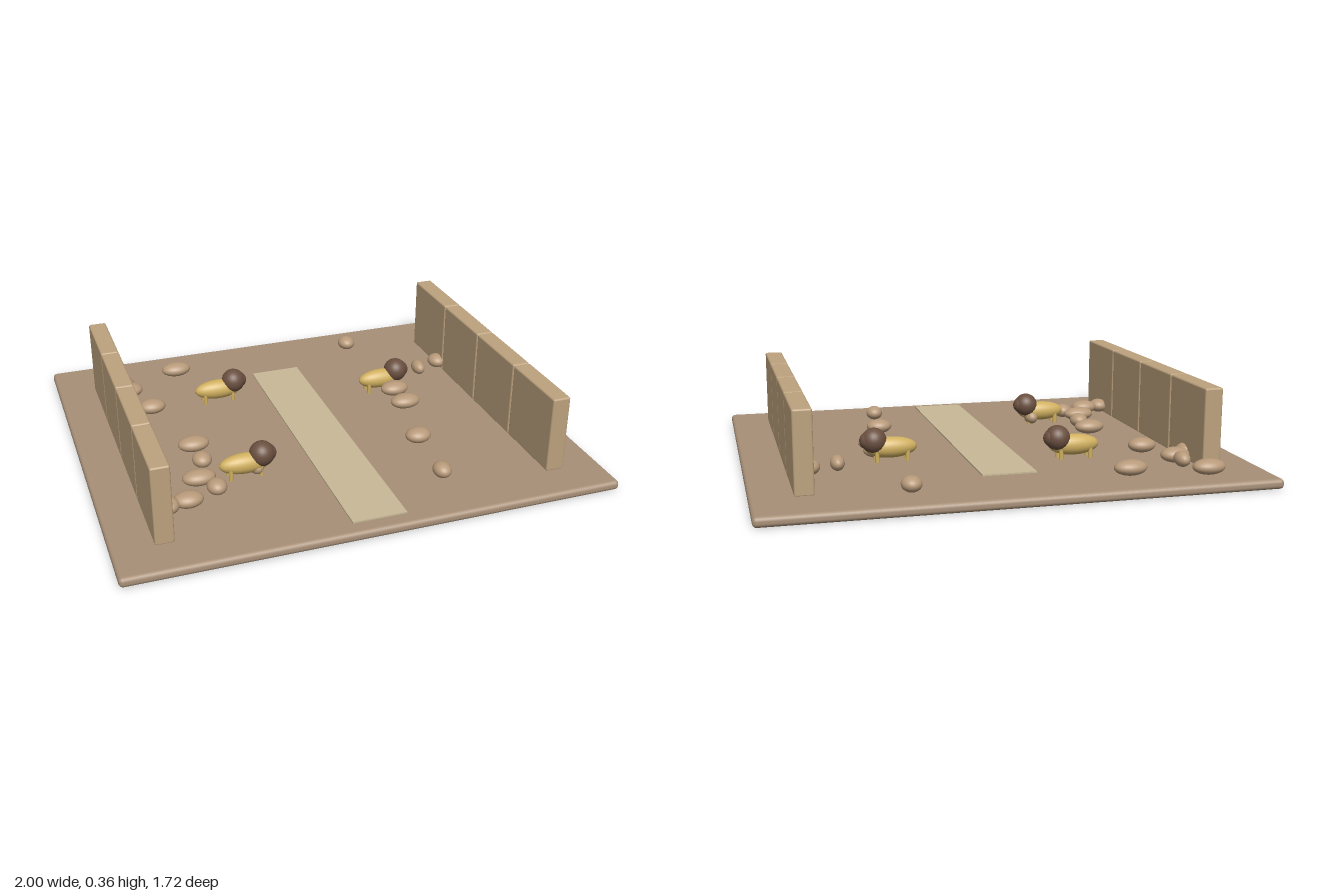
import * as THREE from 'three';
import { RoundedBoxGeometry } from 'three/addons/geometries/RoundedBoxGeometry.js';

const paint = (color) => new THREE.MeshStandardMaterial({ color });
const sand = paint(0xa89078), pathSand = paint(0xc8b896), stone = paint(0xbda27e);
const rockTan = paint(0xb89a7a), gold = paint(0xd0b060), brown = paint(0x6b5040);
const GROUND = 0.04;

function add(parent, name, geometry, material, x, y, z) {
  const mesh = new THREE.Mesh(geometry, material);
  mesh.name = name;
  mesh.position.set(x, y, z);
  parent.add(mesh);
  return mesh;
}

const ball = new THREE.SphereGeometry(1, 24, 16);
function ellipsoid(parent, name, material, [x, y, z], [rx, ry, rz]) {
  add(parent, name, ball, material, x, y, z).scale.set(rx, ry, rz);
}

// A lion facing +x, with its origin on the ground below the body
function createLion() {
  const lion = new THREE.Group();
  lion.name = 'lion';
  ellipsoid(lion, 'body', gold, [0, 0.056, 0], [0.107, 0.043, 0.041]);
  ellipsoid(lion, 'mane', brown, [0.07, 0.087, 0], [0.052, 0.052, 0.052]);
  ellipsoid(lion, 'muzzle', brown, [0.093, 0.087, 0], [0.036, 0.036, 0.036]);
  const leg = new THREE.CylinderGeometry(0.009, 0.009, 0.045, 12);
  for (const x of [-0.065, 0.06]) {
    for (const z of [-0.022, 0.022]) add(lion, 'leg', leg, gold, x, 0.0225, z);
  }
  return lion;
}

export function createModel() {
  const model = new THREE.Group();
  model.name = 'lionArena';

  // Floor slab and the thin path down the middle
  add(model, 'floor', new RoundedBoxGeometry(2, GROUND, 1.72, 4, 0.017), sand, 0, GROUND / 2, 0);
  add(model, 'path', new THREE.BoxGeometry(0.22, 0.008, 1.33), pathSand, 0, 0.042, 0.13);

  // Two mirrored walls of four blocks each
  const block = new RoundedBoxGeometry(0.075, 0.325, 0.33, 3, 0.008);
  for (const side of [-1, 1]) {
    const wall = new THREE.Group();
    wall.name = side > 0 ? 'leftWall' : 'rightWall';
    for (let i = 0; i < 4; i++) {
      add(wall, 'wallBlock', block, stone, side * 0.8, 0.1985, -0.47 + i * 0.333);
    }
    model.add(wall);
  }

  // Lions: x, z of the body
  for (const [x, z] of [[-0.326, -0.34], [-0.392, 0.328], [0.407, -0.205]]) {
    const lion = createLion();
    lion.position.set(x, GROUND, z);
    model.add(lion);
  }

  // Scattered rocks: x, z, half length along x
  const rocks = [
    [-0.75, -0.715, 0.067], [-0.698, -0.58, 0.031], [-0.70, -0.508, 0.061],
    [-0.773, -0.45, 0.042], [-0.634, -0.32, 0.059], [-0.45, -0.654, 0.067],
    [0.414, -0.675, 0.04], [0.752, -0.343, 0.042], [0.638, -0.304, 0.029],
    [0.447, -0.137, 0.064], [0.444, -0.005, 0.067], [0.372, 0.3, 0.055],
    [0.348, 0.59, 0.037], [-0.54, 0.064, 0.066], [-0.538, 0.2, 0.04],
    [-0.583, 0.332, 0.068], [-0.533, 0.42, 0.04], [-0.742, 0.494, 0.043],
    [-0.66, 0.476, 0.06], [-0.345, 0.32, 0.03],
  ];
  for (const [x, z, rx] of rocks) {
    ellipsoid(model, 'rock', rockTan, [x, 0.07, z], [rx, 0.031, 0.046]);
  }
  return model;
}
